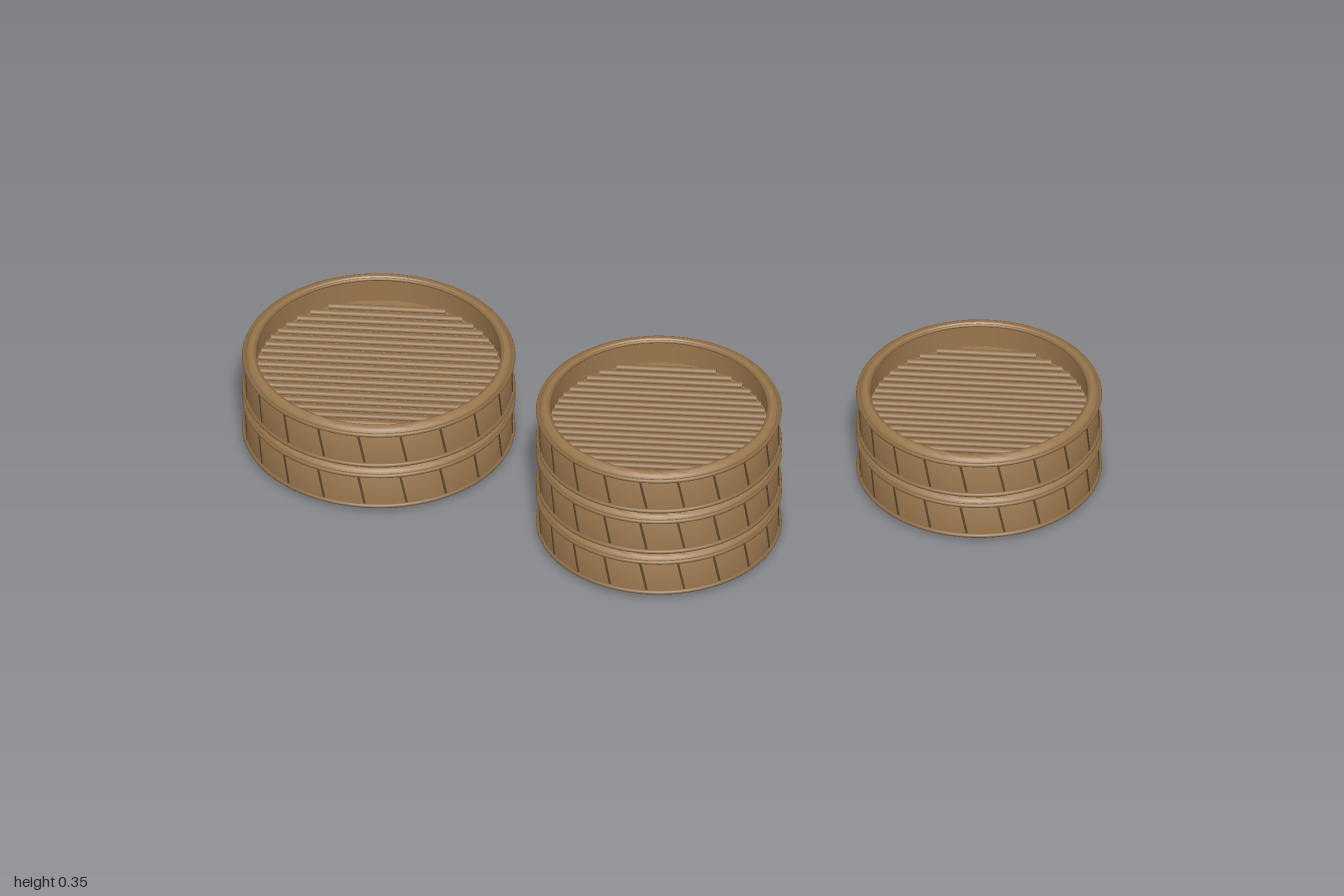
import * as THREE from 'three';
import { toCreasedNormals } from 'three/addons/utils/BufferGeometryUtils.js';

const TIER = 0.117; // height of one basket

const bamboo = new THREE.MeshStandardMaterial({ color: 0x99764d });
bamboo.name = 'bamboo';
const caneBrown = new THREE.MeshStandardMaterial({ color: 0x8a6a43 });
caneBrown.name = 'cane brown';
const darkBamboo = new THREE.MeshStandardMaterial({ color: 0x5a4630 });
darkBamboo.name = 'dark bamboo';

function add(parent, name, geometry, material) {
  const mesh = new THREE.Mesh(geometry, material);
  mesh.name = name;
  parent.add(mesh);
  return mesh;
}

// thin horizontal hoop
function hoop(parent, name, radius, tube, y) {
  const mesh = add(parent, name, new THREE.TorusGeometry(radius, tube, 8, 72), caneBrown);
  mesh.rotation.x = Math.PI / 2;
  mesh.position.y = y;
}

// one open basket: wall with floor, hoops, slanted lashings and floor rods
function createBasket(R) {
  const basket = new THREE.Group();
  basket.name = 'basket';
  const floorY = 0.05;
  const inner = R - 0.03;

  const profile = [
    [0, 0], [R - 0.026, 0], [R - 0.014, 0.004], [R - 0.006, 0.014],
    [R - 0.006, 0.103], [R - 0.012, 0.113], [R - 0.018, TIER],
    [inner + 0.004, TIER], [inner, 0.113], [inner, floorY], [0, floorY],
  ].map(([x, y]) => new THREE.Vector2(x, y));
  add(basket, 'wall', toCreasedNormals(new THREE.LatheGeometry(profile, 72), 0.6), bamboo);

  hoop(basket, 'lowerHoop', R - 0.005, 0.005, 0.017);
  hoop(basket, 'upperHoop', R - 0.005, 0.005, 0.103);
  hoop(basket, 'innerHoop', inner, 0.004, 0.111);

  // slanted lashings around the wall
  const count = 20;
  for (let i = 0; i < count; i++) {
    const pivot = new THREE.Group();
    pivot.name = 'lashing';
    pivot.rotation.y = (i / count) * Math.PI * 2 - 0.05;
    const strip = add(pivot, 'lashingStrip', new THREE.BoxGeometry(0.005, 0.074, 0.004), darkBamboo);
    strip.position.set(0, 0.06, R - 0.0065);
    strip.rotation.z = 0.2;
    basket.add(pivot);
  }

  // parallel round rods laid across the floor
  const rods = 20;
  const reach = inner - 0.002;
  for (let i = 0; i < rods; i++) {
    const z = R * 0.79 * ((2 * i) / (rods - 1) - 1);
    const length = 2 * Math.sqrt(reach * reach - z * z);
    const rod = add(basket, 'floorRod', new THREE.CylinderGeometry(0.008, 0.008, length, 10), caneBrown);
    rod.rotation.z = Math.PI / 2;
    rod.position.set(0, floorY + 0.003, z);
  }
  return basket;
}

function createStack(name, x, z, radius, tiers) {
  const stack = new THREE.Group();
  stack.name = name;
  for (let i = 0; i < tiers; i++) {
    const basket = createBasket(radius);
    basket.position.y = i * TIER;
    stack.add(basket);
  }
  stack.position.set(x, 0, z);
  return stack;
}

export function createModel() {
  const model = new THREE.Group();
  model.name = 'steamerBaskets';
  model.add(
    createStack('rightStack', -0.683, -0.143, 0.317, 2),
    createStack('middleStack', -0.007, 0.174, 0.285, 3),
    createStack('leftStack', 0.715, -0.105, 0.285, 2),
  );
  return model;
}
